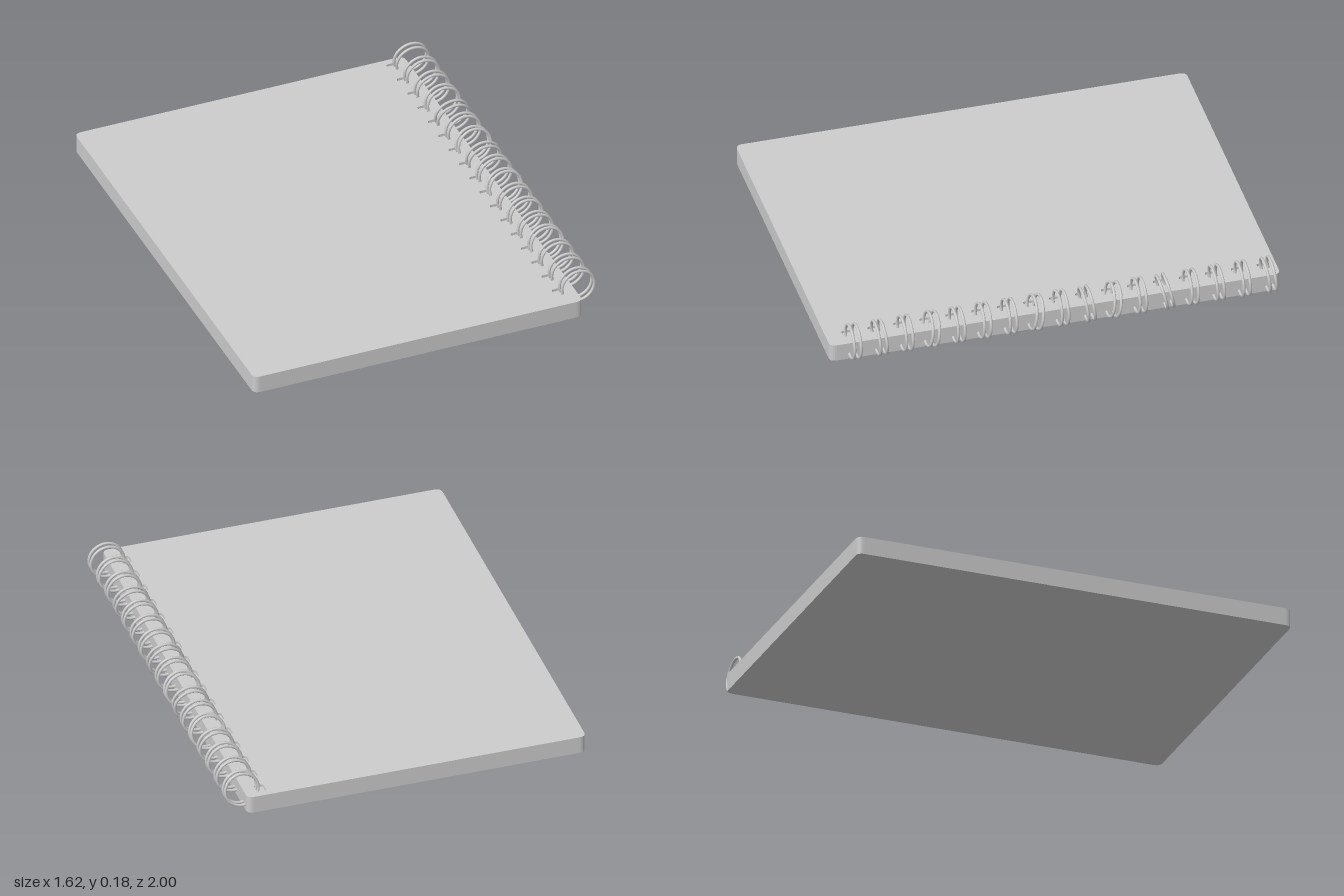
import * as THREE from 'three';

const LEFT = -0.81, RIGHT = 0.715, HALF = 1, CORNER = 0.03;
const COVER = 0.012, HEIGHT = 0.08;

// Rectangle with rounded corners, drawn in x and z
function roundedRect(target, x0, x1, z0, z1, r) {
  target.moveTo(x0 + r, z0);
  target.lineTo(x1 - r, z0);
  target.quadraticCurveTo(x1, z0, x1, z0 + r);
  target.lineTo(x1, z1 - r);
  target.quadraticCurveTo(x1, z1, x1 - r, z1);
  target.lineTo(x0 + r, z1);
  target.quadraticCurveTo(x0, z1, x0, z1 - r);
  target.lineTo(x0, z0 + r);
  target.quadraticCurveTo(x0, z0, x0 + r, z0);
  return target;
}

// Flat slab lying between heights y0 and y1, with optional punched slots
function slab(name, y0, y1, material, slots = []) {
  const shape = roundedRect(new THREE.Shape(), LEFT, RIGHT, -HALF, HALF, CORNER);
  for (const z of slots) {
    shape.holes.push(roundedRect(new THREE.Path(), 0.62, 0.662, -z - 0.026, -z + 0.026, 0.012));
  }
  const geometry = new THREE.ExtrudeGeometry(shape, { depth: y1 - y0, bevelEnabled: false, curveSegments: 6 });
  geometry.rotateX(-Math.PI / 2);
  geometry.translate(0, y0, 0);
  const mesh = new THREE.Mesh(geometry, material);
  mesh.name = name;
  return mesh;
}

export function createModel() {
  const model = new THREE.Group();
  model.name = 'spiralNotebook';
  const grey = new THREE.MeshStandardMaterial({ color: 0xcccccc });
  grey.name = 'light grey';

  // Lean of each ring pair, from back to front
  const leans = [0.12, 0.04, 0.06, -0.02, 0.22, 0, -0.13, 0.14, 0, -0.14, 0, -0.05, 0, -0.12, 0, 0.06, 0];
  const step = (0.9 + 0.943) / (leans.length - 1);
  const positions = leans.map((_, i) => -0.943 + i * step);

  // Covers and page block
  model.add(slab('backCover', 0, COVER, grey));
  model.add(slab('pages', COVER, HEIGHT - COVER, grey));
  model.add(slab('frontCover', HEIGHT - COVER, HEIGHT, grey, positions));

  // Double wire rings along the spine
  const wire = new THREE.TorusGeometry(0.0745, 0.0065, 8, 40);
  positions.forEach((z, i) => {
    const pair = new THREE.Group();
    pair.name = 'ringPair';
    pair.position.set(0.728, 0.098, z);
    pair.rotation.x = leans[i];
    for (const side of [-1, 1]) {
      const ring = new THREE.Mesh(wire, grey);
      ring.name = 'ring';
      ring.position.z = side * 0.0145;
      pair.add(ring);
    }
    model.add(pair);
  });
  return model;
}
